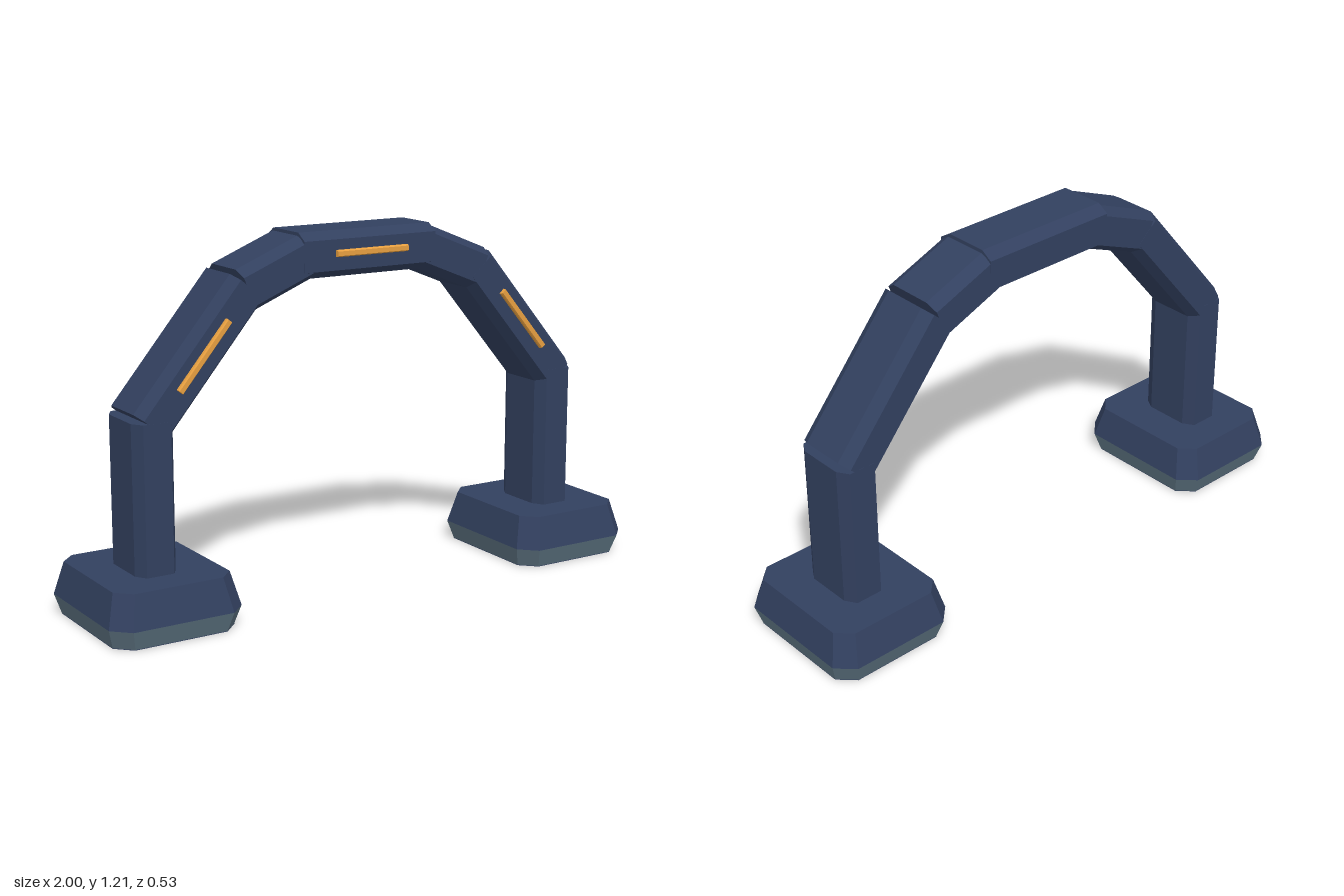
import * as THREE from 'three';

const paint = (name, color) => {
  const m = new THREE.MeshStandardMaterial({ color, flatShading: true });
  m.name = name;
  return m;
};

// Rectangle with cut corners, as a list of points
function cutRect(hw, hd, cw, cd) {
  return [
    [hw, -hd + cd], [hw, hd - cd], [hw - cw, hd], [-hw + cw, hd],
    [-hw, hd - cd], [-hw, -hd + cd], [-hw + cw, -hd], [hw - cw, -hd],
  ].map(([x, y]) => new THREE.Vector2(x, y));
}

// Chamfered bar running from (x1, y1) to (x2, y2), w wide in the xy plane and d deep in z
function bar(name, material, x1, y1, x2, y2, w, d, z = 0) {
  const length = Math.hypot(x2 - x1, y2 - y1);
  const shape = new THREE.Shape(cutRect(w / 2, d / 2, w / 6, d / 6));
  const geo = new THREE.ExtrudeGeometry(shape, { depth: length, bevelEnabled: false });
  geo.translate(0, 0, -length / 2).rotateX(-Math.PI / 2);
  const mesh = new THREE.Mesh(geo, material);
  mesh.name = name;
  mesh.position.set((x1 + x2) / 2, (y1 + y2) / 2, z);
  mesh.rotation.z = Math.atan2(y2 - y1, x2 - x1) - Math.PI / 2;
  return mesh;
}

// Closed solid lofted between two scaled copies of the foot outline
function footLayer(name, material, y0, s0, y1, s1) {
  const ring = cutRect(0.2285, 0.264, 0.056, 0.056);
  const n = ring.length;
  const pos = [], index = [];
  for (const [y, s] of [[y0, s0], [y1, s1]])
    for (const p of ring) pos.push(p.x * s, y, p.y * s);
  for (let i = 0; i < n; i++) {
    const j = (i + 1) % n;
    index.push(i, n + i, j, j, n + i, n + j);
    if (i > 0 && i < n - 1) index.push(0, i, i + 1, n, n + i + 1, n + i);
  }
  const geo = new THREE.BufferGeometry();
  geo.setAttribute('position', new THREE.Float32BufferAttribute(pos, 3));
  geo.setIndex(index);
  const flat = geo.toNonIndexed();
  flat.computeVertexNormals();
  const mesh = new THREE.Mesh(flat, material);
  mesh.name = name;
  return mesh;
}

export function createModel() {
  const navy = paint('navy', 0x32405f);
  const slate = paint('slate', 0x5c7280);
  const amber = paint('amber', 0xe8a040);
  const model = new THREE.Group();
  model.name = 'archway';
  const depth = 0.234;

  // Top of the arch with its light
  model.add(bar('topBeam', navy, -0.25, 1.131, 0.25, 1.131, 0.15, depth));
  model.add(bar('topLight', amber, -0.135, 1.136, 0.135, 1.136, 0.022, 0.03, 0.117));

  for (const s of [-1, 1]) {
    const side = new THREE.Group();
    side.name = s > 0 ? 'leftSide' : 'rightSide';

    // Foot: slate base band, navy underside and sloped navy body
    const foot = new THREE.Group();
    foot.name = 'foot';
    foot.position.x = s * 0.7715;
    foot.add(footLayer('footBand', slate, 0.002, 0.92, 0.065, 1));
    foot.add(footLayer('footBody', navy, 0.065, 1, 0.175, 0.88));
    foot.add(footLayer('footSole', navy, 0, 0.92, 0.002, 0.92));
    side.add(foot);

    // Leg, diagonal and shoulder segments
    side.add(bar('leg', navy, s * 0.777, 0.17, s * 0.777, 0.662, 0.142, depth));
    side.add(bar('diagonal', navy, s * 0.783, 0.642, s * 0.441, 1.048, 0.146, depth - 0.001));
    side.add(bar('shoulder', navy, s * 0.449, 1.038, s * 0.226, 1.128, 0.148, depth - 0.002));

    // Light on the diagonal
    side.add(bar('diagonalLight', amber, s * 0.7, 0.752, s * 0.526, 0.958, 0.022, 0.03, 0.117));
    model.add(side);
  }
  return model;
}
